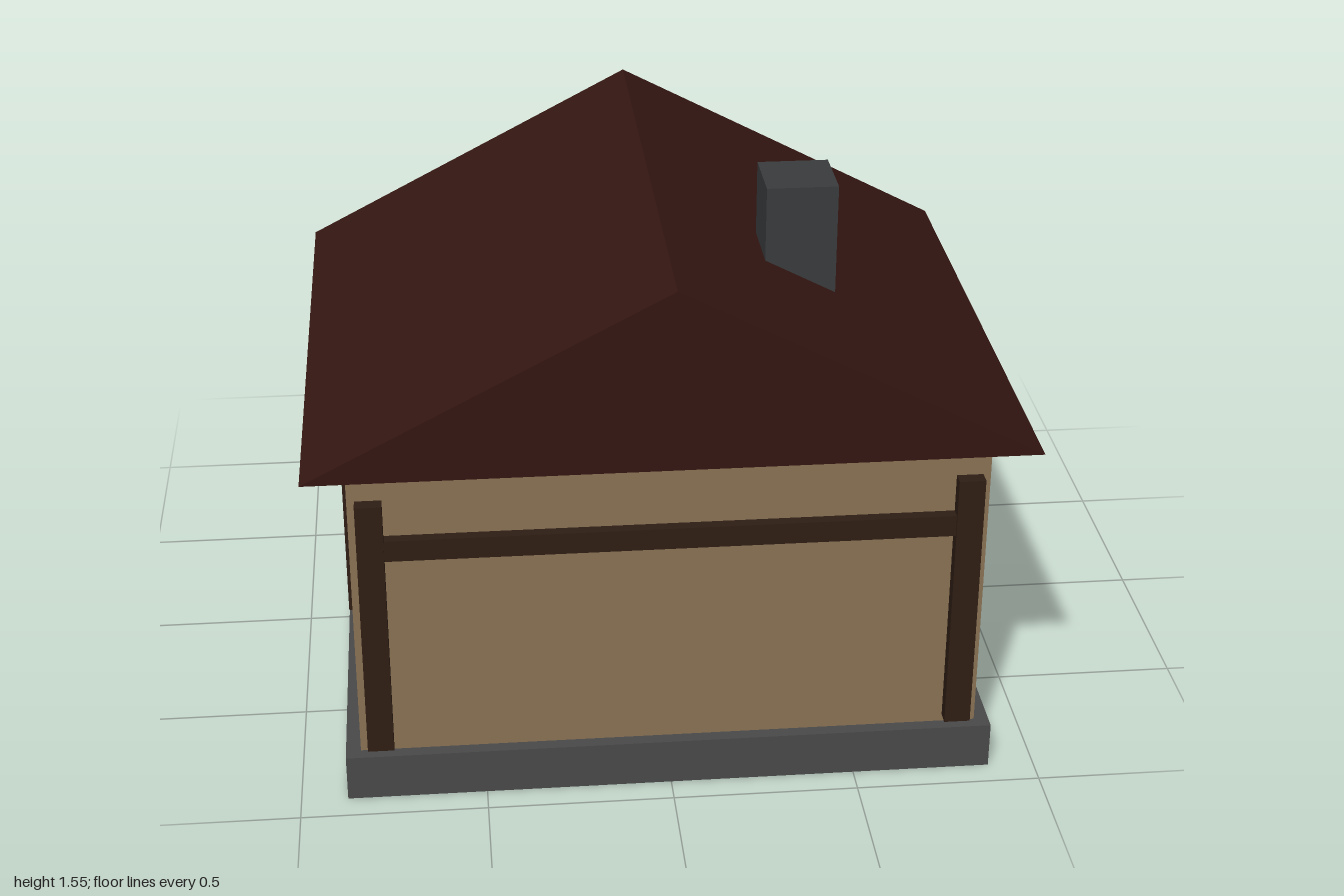
import * as THREE from 'three';

const mat = (color) => new THREE.MeshStandardMaterial({ color, flatShading: true });

export function createModel() {
  const house = new THREE.Group();
  house.name = 'cottage';

  const stone = mat(0x4a4a4a);
  const plaster = mat(0x8b7355);
  const timber = mat(0x2f1e14);
  const tiles = mat(0x351612);
  const brick = mat(0x3a3c3e);
  const deckWood = mat(0x472817);
  const canopyWood = mat(0x261b15);
  const glow = mat(0xd9771f);

  // Box given by its extents on each axis
  function box(name, material, [x0, x1], [y0, y1], [z0, z1], parent = house) {
    const mesh = new THREE.Mesh(new THREE.BoxGeometry(x1 - x0, y1 - y0, z1 - z0), material);
    mesh.position.set((x0 + x1) / 2, (y0 + y1) / 2, (z0 + z1) / 2);
    mesh.name = name;
    parent.add(mesh);
    return mesh;
  }
  const around = (c, w) => [c - w / 2, c + w / 2];

  // Body
  box('foundation', stone, [-0.875, 0.875], [0, 0.13], [-0.54, 0.925]);
  box('walls', plaster, [-0.835, 0.835], [0.13, 1.0], [-0.5, 0.89]);

  // Gable roof: solid triangular prism
  const gable = new THREE.Shape();
  gable.moveTo(-0.945, 1.005);
  gable.lineTo(0.945, 1.005);
  gable.lineTo(0, 1.5);
  gable.closePath();
  const roof = new THREE.Mesh(
    new THREE.ExtrudeGeometry(gable, { depth: 1.61, bevelEnabled: false }), tiles);
  roof.position.z = -0.61;
  roof.name = 'roof';
  house.add(roof);

  box('chimney', brick, [0.285, 0.475], [1.18, 1.555], [0.31, 0.5]);

  // Timber framing
  for (const [side, z] of [['front', [0.885, 0.927]], ['back', [-0.54, -0.495]]]) {
    for (const s of [-1, 1]) box(side + 'CornerPost', timber, around(s * 0.78, 0.07), [0.15, 0.895], z);
    const beamZ = side === 'front' ? [0.885, 0.92] : [-0.53, -0.495];
    box(side + 'Beam', timber, [-0.75, 0.75], [0.73, 0.79], beamZ);
  }
  for (const s of [-1, 1]) {
    box('sidePost', timber, around(s * 0.853, 0.042), [0.165, 0.88], around(0.2, 0.06));
  }

  // Back door and windows
  box('door', deckWood, [-0.155, 0.155], [0.13, 0.7], [-0.535, -0.495]);
  for (const s of [-1, 1]) {
    const window = new THREE.Group();
    window.name = 'window';
    box('windowPane', glow, around(s * 0.47, 0.2), [0.52, 0.755], [-0.538, -0.495], window);
    box('windowMullion', timber, around(s * 0.47, 0.025), [0.51, 0.765], [-0.548, -0.495], window);
    house.add(window);
  }

  // Porch with a tilted canopy
  const porch = new THREE.Group();
  porch.name = 'porch';
  house.add(porch);
  box('porchDeck', deckWood, [-0.55, 0.55], [0.045, 0.105], [-0.905, -0.5], porch);
  for (const s of [-1, 1]) {
    box('porchPost', timber, around(s * 0.455, 0.05), [0.105, 0.68], around(-0.845, 0.05), porch);
  }
  const canopy = box('porchCanopy', canopyWood, [-0.6, 0.6], around(0.672, 0.05), around(-0.75, 0.5), porch);
  canopy.rotation.x = THREE.MathUtils.degToRad(10);

  return house;
}
